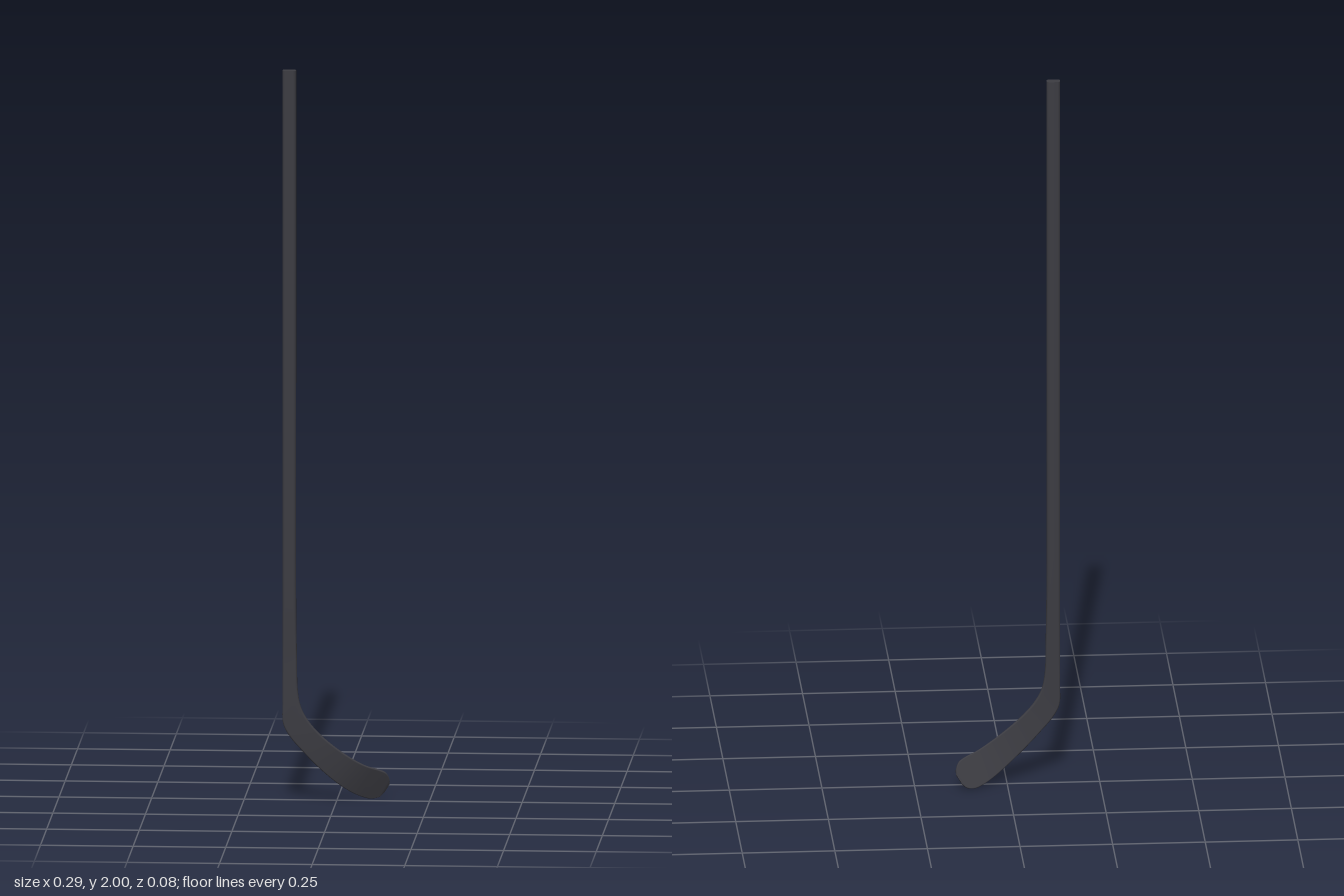
import * as THREE from 'three';

// Stations from butt end to toe: heel-side edge, inner edge, thickness
const STATIONS = [
  [[-0.145, 2.0, 0.0265], [-0.108, 2.0, 0.0265], 0.023],
  [[-0.145, 1.2, 0.0265], [-0.108, 1.2, 0.0265], 0.023],
  [[-0.145, 0.55, 0.0265], [-0.108, 0.55, 0.0265], 0.022],
  [[-0.145, 0.37, 0.027], [-0.106, 0.40, 0.027], 0.017],
  [[-0.145, 0.27, 0.028], [-0.103, 0.30, 0.028], 0.014],
  [[-0.143, 0.213, 0.028], [-0.094, 0.257, 0.028], 0.013],
  [[-0.125, 0.178, 0.027], [-0.075, 0.222, 0.028], 0.012],
  [[-0.09, 0.137, 0.024], [-0.045, 0.187, 0.027], 0.011],
  [[-0.05, 0.095, 0.019], [-0.008, 0.154, 0.024], 0.010],
  [[0.0, 0.05, 0.007], [0.04, 0.119, 0.016], 0.009],
  [[0.04, 0.021, -0.010], [0.08, 0.096, 0.004], 0.008],
  [[0.07, 0.006, -0.025], [0.115, 0.083, -0.011], 0.008],
  [[0.09, 0.001, -0.034], [0.132, 0.073, -0.020], 0.008],
  [[0.112, 0.005, -0.039], [0.140, 0.055, -0.029], 0.007],
  [[0.125, 0.017, -0.039], [0.140, 0.041, -0.034], 0.004],
];

// Rounded rectangle, counter-clockwise, with a middle point on each broad side
function section(w, t) {
  const r = Math.min(t, w) * 0.38, pts = [];
  const centres = [[1, 1], [-1, 1], [-1, -1], [1, -1]];
  centres.forEach(([sx, sy], q) => {
    for (let k = 0; k <= 4; k++) {
      const a = (q + k / 4) * Math.PI / 2;
      pts.push([sx * (w / 2 - r) + r * Math.cos(a), sy * (t / 2 - r) + r * Math.sin(a)]);
    }
    if (q % 2 === 0) pts.push([0, sy * t / 2]);
  });
  return pts;
}

// Cross-section rings following the two edge curves
function buildRings(perStation) {
  const curve = (i) => new THREE.CatmullRomCurve3(STATIONS.map((s) => new THREE.Vector3(...s[i])));
  const heel = curve(0), inner = curve(1);
  const spans = STATIONS.length - 1, count = spans * perStation;
  const middle = (f) => heel.getPoint(f).add(inner.getPoint(f)).multiplyScalar(0.5);
  const rings = [];
  for (let i = 0; i <= count; i++) {
    const f = i / count, s = Math.min(Math.floor(f * spans), spans - 1);
    const t = THREE.MathUtils.lerp(STATIONS[s][2], STATIONS[s + 1][2], f * spans - s);
    const u = inner.getPoint(f).sub(heel.getPoint(f));
    const w = u.length();
    u.normalize();
    const tangent = middle(Math.min(1, f + 0.002)).sub(middle(Math.max(0, f - 0.002)));
    const n = tangent.cross(u).normalize();
    const c = middle(f);
    rings.push(section(w, t).map(([a, b]) => c.clone().addScaledVector(u, a).addScaledVector(n, b)));
  }
  return rings;
}

// Smooth skin through a run of rings
function skin(rings) {
  const m = rings[0].length, index = [];
  for (let i = 0; i < rings.length - 1; i++) {
    for (let j = 0; j < m; j++) {
      const a = i * m + j, b = i * m + (j + 1) % m;
      index.push(a, b, a + m, b, b + m, a + m);
    }
  }
  const g = new THREE.BufferGeometry().setFromPoints(rings.flat());
  g.setIndex(index);
  g.computeVertexNormals();
  return g;
}

// Flat end cap as a fan around the ring's centre
function cap(ring, reverse) {
  const m = ring.length, index = [];
  const centre = ring.reduce((s, p) => s.add(p), new THREE.Vector3()).divideScalar(m);
  for (let j = 0; j < m; j++) {
    const k = (j + 1) % m;
    index.push(m, reverse ? k : j, reverse ? j : k);
  }
  const g = new THREE.BufferGeometry().setFromPoints([...ring, centre]);
  g.setIndex(index);
  g.computeVertexNormals();
  return g;
}

export function createModel() {
  const group = new THREE.Group();
  group.name = 'hockeyStick';
  const material = new THREE.MeshStandardMaterial({ color: 0x3c3c42 });
  const add = (name, geometry) => {
    const mesh = new THREE.Mesh(geometry, material);
    mesh.name = name;
    group.add(mesh);
  };

  // Shaft and blade are one continuous moulding
  const rings = buildRings(6);
  add('shaftAndBlade', skin(rings));
  add('buttCap', cap(rings[0], true));
  add('toeCap', cap(rings[rings.length - 1], false));
  return group;
}
